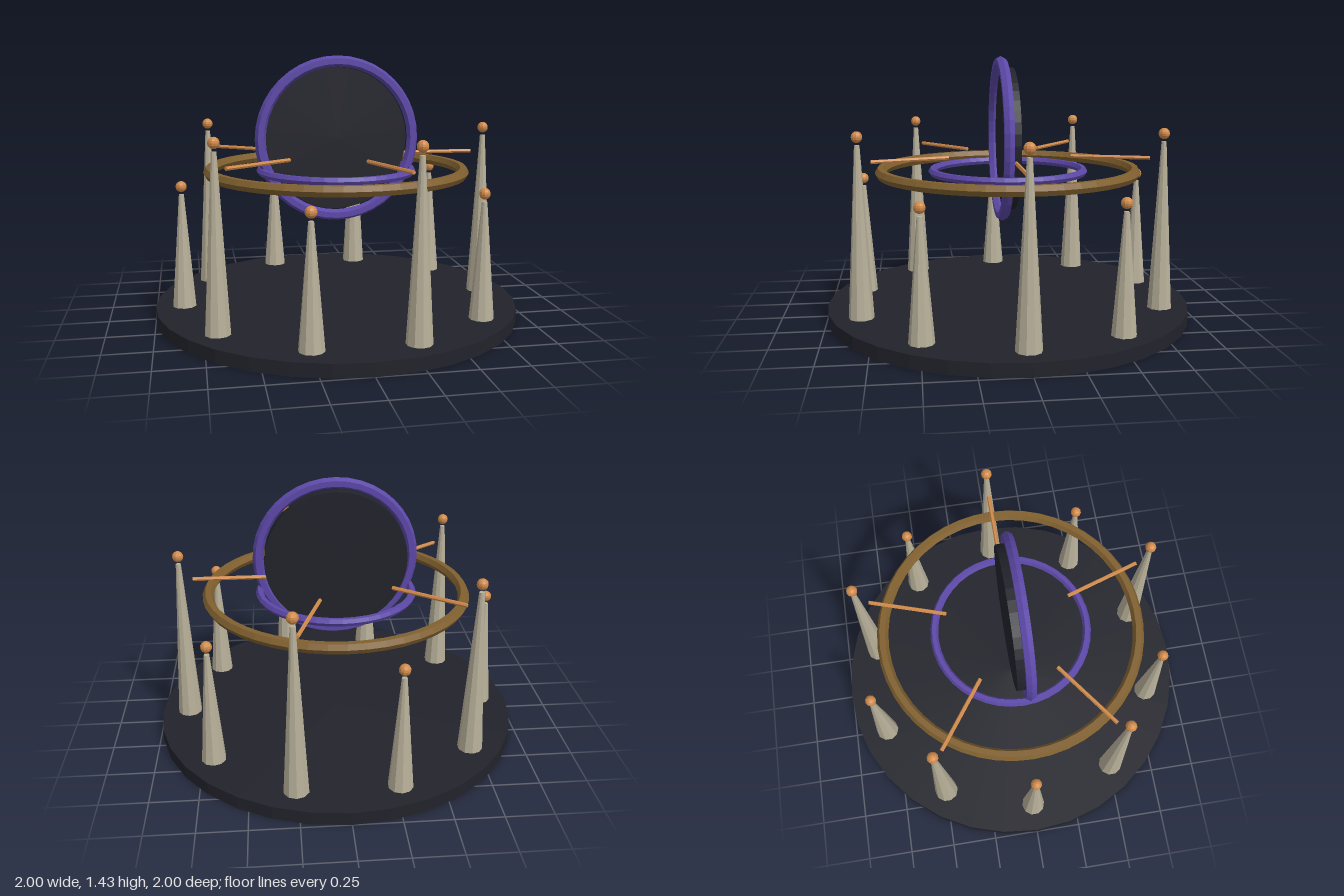
import * as THREE from 'three';

export function createModel() {
  const model = new THREE.Group();
  const paint = (color) => new THREE.MeshStandardMaterial({ color, flatShading: true });
  const dark = paint(0x22232b), purple = paint(0x5c48a8), bronze = paint(0x80602f);
  const stone = paint(0xb8b09a), copper = paint(0xd08a4a);

  const add = (name, geometry, material, x, y, z, parent = model) => {
    const mesh = new THREE.Mesh(geometry, material);
    mesh.name = name;
    mesh.position.set(x, y, z);
    parent.add(mesh);
    return mesh;
  };

  // Round platform
  add('platform', new THREE.CylinderGeometry(1, 1, 0.07, 32), dark, 0, 0.035, 0);

  // Ten tapered pillars, alternately tall and short, each with a ball on top
  const ball = new THREE.SphereGeometry(0.03, 10, 8);
  for (let i = 0; i < 10; i++) {
    const a = (i * Math.PI) / 5;
    const h = i % 2 ? 0.69 : 0.98;
    const pillar = new THREE.Group();
    pillar.name = 'pillar' + (i + 1);
    pillar.position.set(Math.cos(a) * 0.845, 0, Math.sin(a) * 0.845);
    add('pillarShaft', new THREE.CylinderGeometry(0.014, 0.071, h, 10), stone, 0, h / 2, 0, pillar);
    add('pillarBall', ball, copper, 0, h + 0.042, 0, pillar);
    model.add(pillar);
  }

  // Horizontal floating rings
  add('outerRing', new THREE.TorusGeometry(0.696, 0.031, 6, 48), bronze, 0, 0.803, 0).rotation.x = Math.PI / 2;
  add('innerRing', new THREE.TorusGeometry(0.416, 0.022, 6, 40), purple, 0, 0.803, 0).rotation.x = Math.PI / 2;

  // Upright disc with its frame ring in front
  add('portalDisc', new THREE.CylinderGeometry(0.388, 0.388, 0.054, 40), dark, 0, 0.977, 0).rotation.x = Math.PI / 2;
  add('portalFrame', new THREE.TorusGeometry(0.42, 0.03, 6, 40), purple, 0, 0.977, 0.04);

  // Five radial rods
  const rod = new THREE.CylinderGeometry(0.011, 0.011, 0.425, 6).rotateZ(Math.PI / 2);
  for (let i = 0; i < 5; i++) {
    const a = (i * 2 * Math.PI) / 5;
    add('rod' + (i + 1), rod, copper, Math.cos(a) * 0.562, 0.89, Math.sin(a) * 0.562).rotation.y = -a;
  }

  return model;
}
